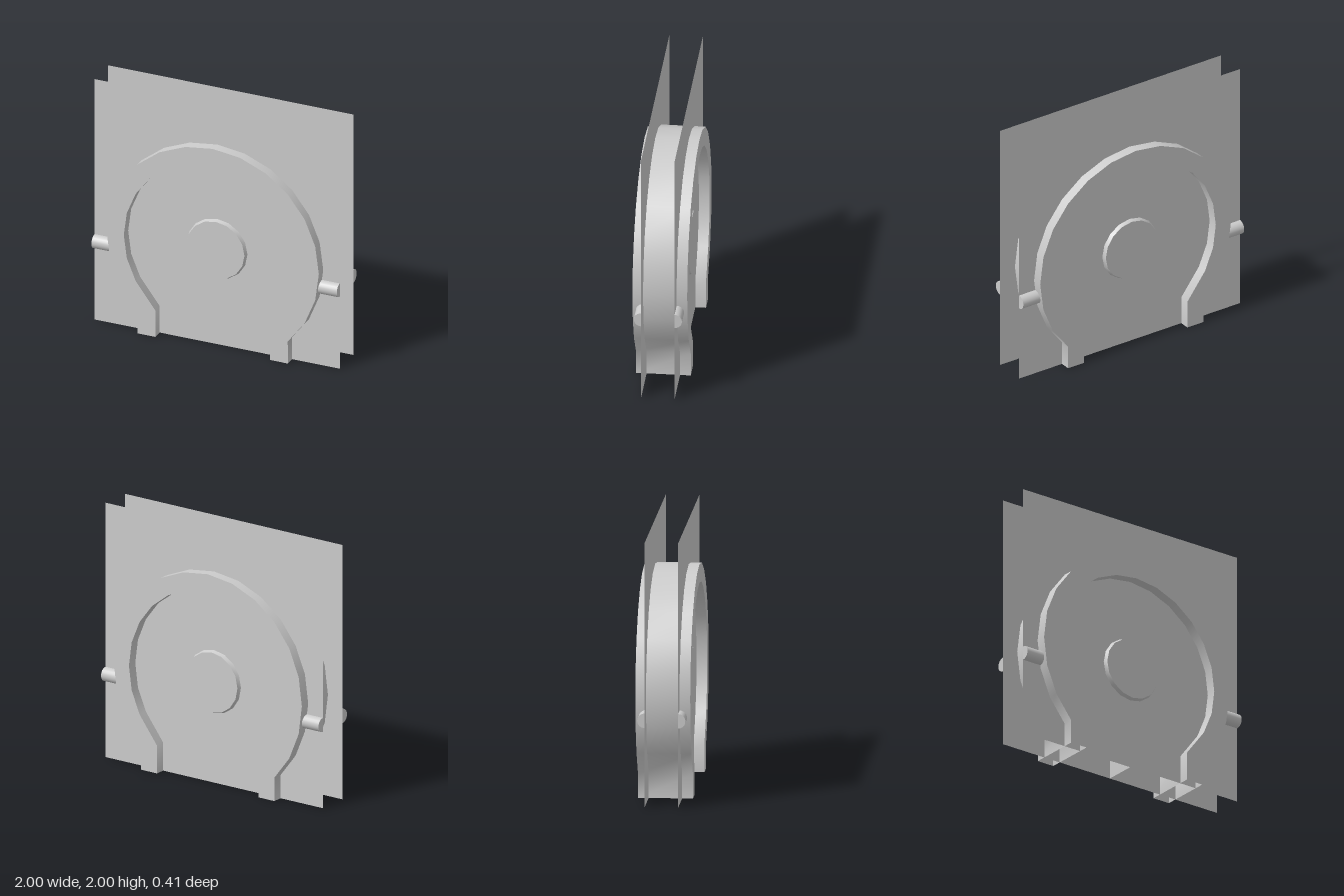
import * as THREE from 'three';
import { toCreasedNormals } from 'three/addons/utils/BufferGeometryUtils.js';

const CENTER_Y = 0.795, PANEL_Z = 0.125, ARCH_Z = 0.205;
const grey = new THREE.MeshStandardMaterial({ color: 0xcccccc, side: THREE.DoubleSide });

function add(parent, name, geometry, x = 0, y = 0, z = 0) {
  const mesh = new THREE.Mesh(geometry, grey);
  mesh.name = name;
  mesh.position.set(x, y, z);
  parent.add(mesh);
  return mesh;
}

// Points on a circle in 15 degree steps, measured from the top, from -last to +last
function arc(radius, last) {
  const points = [];
  for (let a = -last; a <= last; a += 15) {
    const t = THREE.MathUtils.degToRad(a);
    points.push(new THREE.Vector2(radius * Math.sin(t), CENTER_Y + radius * Math.cos(t)));
  }
  return points;
}

// Hollow horseshoe casing, open underneath
function archGeometry() {
  const v = (x, y) => new THREE.Vector2(x, y);
  const outer = [v(-0.612, 0), ...arc(0.865, 135), v(0.612, 0)];
  const inner = [v(-0.468, 0), v(-0.468, 0.22), ...arc(0.725, 120), v(0.468, 0.22), v(0.468, 0)];
  const solid = new THREE.ExtrudeGeometry(new THREE.Shape([...outer, ...inner.reverse()]),
    { depth: 2 * ARCH_Z, bevelEnabled: false });
  solid.translate(0, 0, -ARCH_Z);
  const p = solid.attributes.position, kept = [];
  for (let i = 0; i < p.count; i += 3) {
    if (Math.max(p.getY(i), p.getY(i + 1), p.getY(i + 2)) < 0.001) continue; // leave the feet open
    for (let k = i; k < i + 3; k++) kept.push(p.getX(k), p.getY(k), p.getZ(k));
  }
  const open = new THREE.BufferGeometry();
  open.setAttribute('position', new THREE.Float32BufferAttribute(kept, 3));
  return toCreasedNormals(open, 0.75);
}

// One face of the model: panel, central boss and two half-round side pipes
function createSide(name) {
  const side = new THREE.Group();
  side.name = name;
  add(side, 'panel', new THREE.PlaneGeometry(2, 2), 0, 1, PANEL_Z);

  const boss = new THREE.CylinderGeometry(0.236, 0.247, 0.03, 16);
  boss.rotateX(Math.PI / 2);
  add(side, 'centralBoss', toCreasedNormals(boss, 0.6), 0, CENTER_Y, PANEL_Z + 0.015);

  for (const s of [1, -1]) {
    const pipe = new THREE.Group();
    pipe.name = s > 0 ? 'leftPipe' : 'rightPipe';
    pipe.position.set(s * 0.9, 0.655, PANEL_Z);
    side.add(pipe);
    const wall = new THREE.CylinderGeometry(0.055, 0.055, 0.2, 12, 1, true, -Math.PI / 2, Math.PI);
    wall.rotateZ(Math.PI / 2);
    add(pipe, 'pipeWall', wall);
    const cap = new THREE.CircleGeometry(0.055, 12, Math.PI / 2, Math.PI);
    cap.rotateY(Math.PI / 2);
    if (s < 0) cap.scale(1, 1, 1).rotateY(Math.PI).scale(1, 1, -1);
    add(pipe, 'pipeEnd', cap, s * 0.1);
  }
  return side;
}

export function createModel() {
  const model = new THREE.Group();
  model.name = 'horseshoeCasing';
  add(model, 'arch', archGeometry());

  const front = createSide('frontSide');
  const back = createSide('backSide');
  back.rotation.y = Math.PI;
  model.add(front, back);

  // Upright web joining the two panels inside the arch
  const web = new THREE.PlaneGeometry(2 * PANEL_Z, 1.52);
  web.rotateY(Math.PI / 2);
  add(model, 'centralWeb', web, 0, 0.76, 0);
  return model;
}
